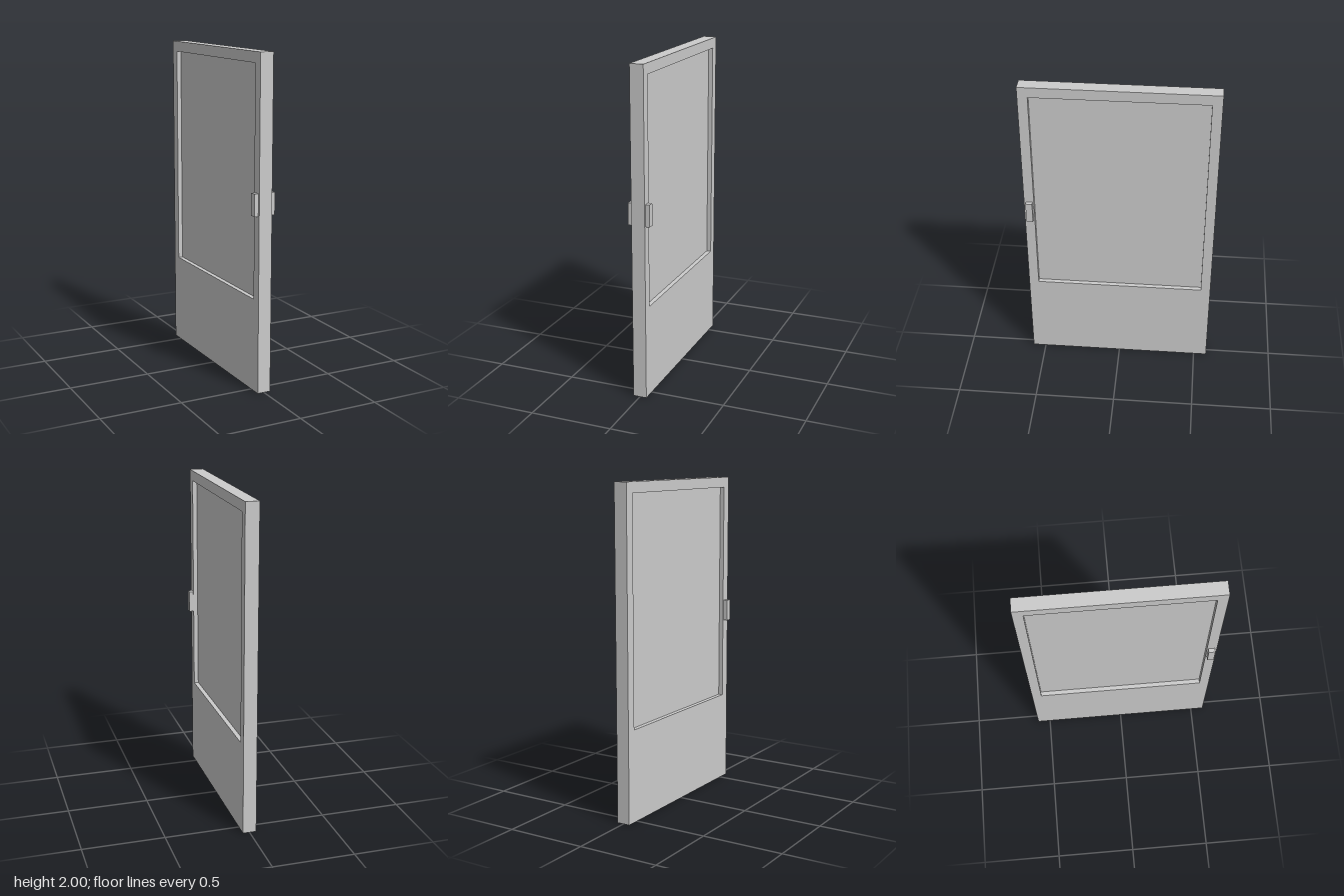
import * as THREE from 'three';

const WIDTH = 1.164, HEIGHT = 2, THICKNESS = 0.083;
const OPENING = { width: 1.044, bottom: 0.566, top: 1.936 };

const rectangle = (PathType, width, bottom, top) => new PathType([
  new THREE.Vector2(-width / 2, bottom),
  new THREE.Vector2(width / 2, bottom),
  new THREE.Vector2(width / 2, top),
  new THREE.Vector2(-width / 2, top),
]);

export function createModel() {
  const model = new THREE.Group();
  model.name = 'door';
  const material = new THREE.MeshStandardMaterial({ color: 0xcccccc });

  const add = (name, geometry, x = 0, y = 0, z = 0) => {
    const mesh = new THREE.Mesh(geometry, material);
    mesh.name = name;
    mesh.position.set(x, y, z);
    model.add(mesh);
  };

  // Door leaf with the window opening, turned to lie in the yz plane
  const outline = rectangle(THREE.Shape, WIDTH, 0, HEIGHT);
  outline.holes.push(rectangle(THREE.Path, OPENING.width, OPENING.bottom, OPENING.top));
  const frame = new THREE.ExtrudeGeometry(outline, { depth: THICKNESS, bevelEnabled: false });
  frame.translate(0, 0, -THICKNESS / 2).rotateY(Math.PI / 2);
  add('doorFrame', frame);

  // Pane set back equally from both faces
  const paneHeight = OPENING.top - OPENING.bottom;
  add('windowPane', new THREE.BoxGeometry(0.028, paneHeight, OPENING.width),
    0, OPENING.bottom + paneHeight / 2, 0);

  // A block handle on each face, near the front edge
  for (const [name, side] of [['leftHandle', 1], ['rightHandle', -1]]) {
    add(name, new THREE.BoxGeometry(0.025, 0.133, 0.04),
      side * (THICKNESS / 2 + 0.0125), 1.136, 0.55);
  }

  return model;
}
